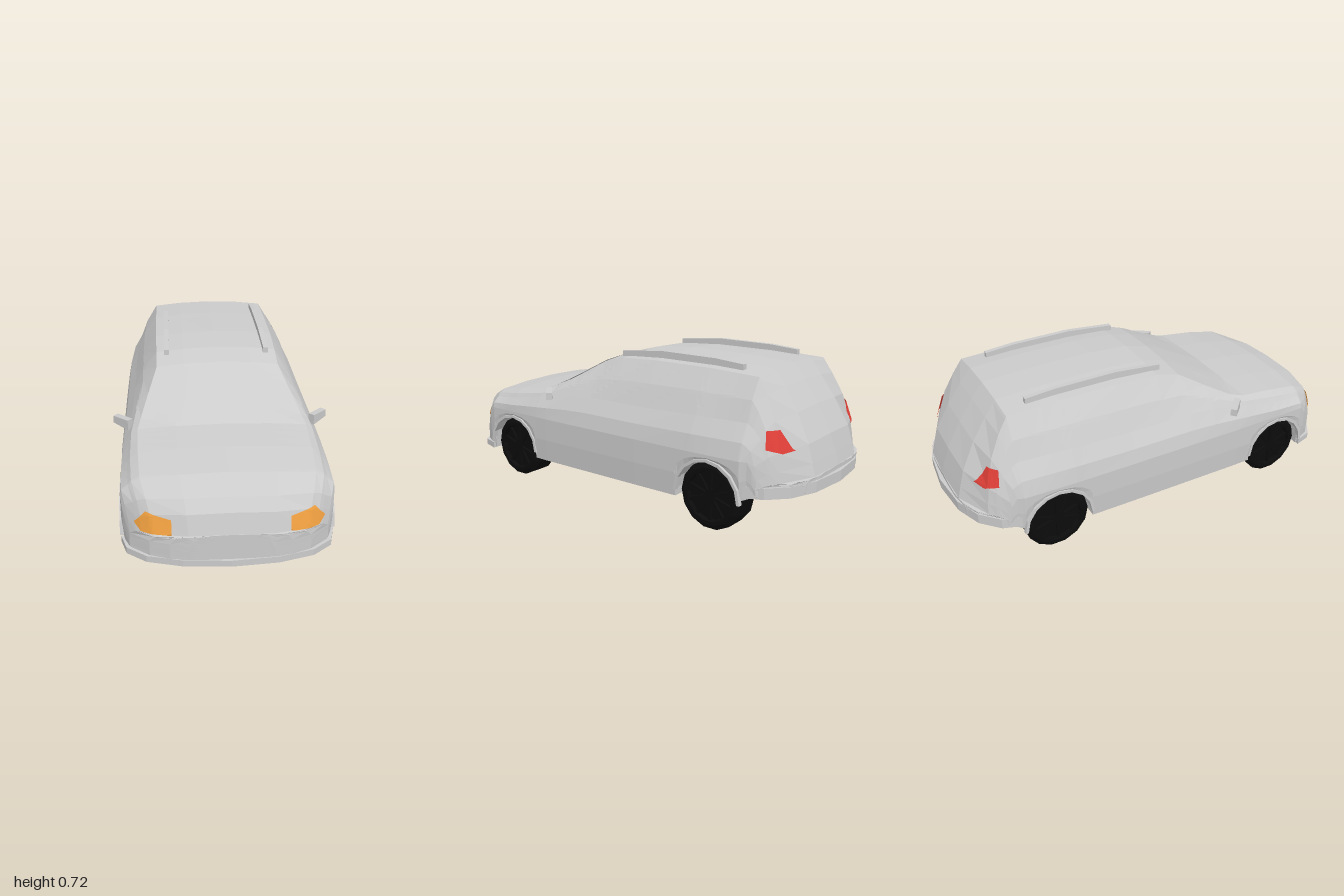
import * as THREE from 'three';

const mat = (color, side = THREE.FrontSide) =>
  new THREE.MeshStandardMaterial({ color, flatShading: true, side });
const grey = mat(0xcccccc), panel = mat(0xcccccc, THREE.DoubleSide);
const amber = mat(0xf0a040, THREE.DoubleSide), red = mat(0xe04038, THREE.DoubleSide);
const black = mat(0x0c0c0c);
const lerp = THREE.MathUtils.lerp, clamp = THREE.MathUtils.clamp;

const AXLES = [0.63, -0.59], ARCH_R = 0.163, ARCH_Y = 0.16;

// Stations: z, max half width, belt x, belt y, roof edge x, roof edge y, centre y
const STATIONS = [
  [0.985, 0.42, 0.39, 0.25, 0.32, 0.262, 0.27],
  [0.96, 0.435, 0.39, 0.31, 0.33, 0.34, 0.36],
  [0.92, 0.447, 0.40, 0.36, 0.345, 0.392, 0.41],
  [0.80, 0.456, 0.42, 0.40, 0.37, 0.435, 0.455],
  [0.63, 0.46, 0.43, 0.42, 0.38, 0.465, 0.482],
  [0.45, 0.463, 0.425, 0.45, 0.385, 0.485, 0.50],
  [0.38, 0.465, 0.42, 0.46, 0.372, 0.505, 0.537],
  [0.25, 0.465, 0.415, 0.48, 0.335, 0.575, 0.605],
  [0.12, 0.465, 0.41, 0.49, 0.295, 0.65, 0.67],
  [0.0, 0.465, 0.41, 0.49, 0.295, 0.68, 0.70],
  [-0.2, 0.465, 0.41, 0.49, 0.30, 0.69, 0.713],
  [-0.5, 0.463, 0.41, 0.50, 0.30, 0.69, 0.712],
  [-0.745, 0.455, 0.39, 0.50, 0.30, 0.68, 0.70],
  [-0.80, 0.45, 0.39, 0.48, 0.31, 0.61, 0.63],
  [-0.87, 0.44, 0.39, 0.44, 0.33, 0.51, 0.53],
  [-0.94, 0.435, 0.40, 0.36, 0.36, 0.385, 0.405],
  [-0.965, 0.43, 0.40, 0.30, 0.365, 0.31, 0.32],
  [-0.98, 0.43, 0.41, 0.25, 0.37, 0.26, 0.265],
];

function stationAt(z) {
  let i = 0;
  while (i < STATIONS.length - 2 && STATIONS[i + 1][0] > z) i++;
  const a = STATIONS[i], b = STATIONS[i + 1], t = (z - a[0]) / (b[0] - a[0]);
  return a.map((v, k) => lerp(v, b[k], t));
}

// Rounds the nose and tail in plan
function bend(x, y, z) {
  const q = (x / 0.46) ** 4;
  const front = clamp((z - 0.78) / 0.2, 0, 1), back = clamp((-z - 0.75) / 0.23, 0, 1);
  return [x, y, z - 0.16 * q * front + 0.21 * q * back];
}

// Half cross-section from floor centre, through the wheel well, up to the roof centre
function halfSection(z) {
  const [, W, xB, yB, xR, yR, yC] = stationAt(z);
  const base = z > -0.45 ? 0.13 : lerp(0.13, 0.2, clamp((-z - 0.45) / 0.5, 0, 1));
  let lo = base;
  for (const c of AXLES) {
    const d = Math.abs(z - c);
    if (d < ARCH_R) lo = Math.max(base, ARCH_Y + Math.sqrt(ARCH_R ** 2 - d * d));
  }
  const y2 = Math.max(Math.min(0.35, yB - 0.05), lo + 0.02);
  return [
    [0, base], [0.3, base], [0.3, lo], [W - 0.008, lo], [W, (lo + y2) / 2], [W, y2],
    [(W + xB) / 2 + 0.012, (y2 + yB) / 2], [xB, yB],
    [(xB + xR) / 2 + 0.01, (yB + yR) / 2], [xR, yR], [xR * 0.55, lerp(yR, yC, 0.7)], [0, yC],
  ];
}

function bodyGeometry() {
  const zs = STATIONS.map(s => s[0]);
  for (const c of AXLES) {
    for (let k = 1; k < 8; k++) zs.push(c + ARCH_R * Math.cos(k * Math.PI / 8));
    for (const e of [0.999, 1.002]) zs.push(c + ARCH_R * e, c - ARCH_R * e);
  }
  zs.sort((a, b) => b - a);
  const pos = [], idx = [];
  const quad = (a, b, c, d) => idx.push(a, b, c, a, c, d);
  const n = 22;
  zs.forEach((z, s) => {
    const h = halfSection(z);
    const ring = [...h, ...h.slice(1, -1).reverse().map(([x, y]) => [-x, y])];
    ring.forEach(([x, y]) => pos.push(...bend(x, y, z)));
    if (s) for (let i = 0; i < n; i++) {
      const j = (i + 1) % n, a = (s - 1) * n, b = s * n;
      quad(a + i, b + i, b + j, a + j);
    }
  });
  // Nose and tail faces
  const cols = 10;
  for (const z of [zs[0], zs[zs.length - 1]]) {
    const start = pos.length / 3, rows = halfSection(z).slice(3);
    rows.forEach(([x, y], r) => {
      for (let c = 0; c <= cols; c++) pos.push(...bend(x * (2 * c / cols - 1), y, z));
      if (r) for (let c = 0; c < cols; c++) {
        const a = start + (r - 1) * (cols + 1) + c, b = a + cols + 1;
        z > 0 ? quad(a, a + 1, b + 1, b) : quad(a, b, b + 1, a + 1);
      }
    });
  }
  const g = new THREE.BufferGeometry();
  g.setAttribute('position', new THREE.Float32BufferAttribute(pos, 3));
  g.setIndex(idx);
  g.computeVertexNormals();
  return g;
}

// Point at fraction t along a polyline of 2D points
function along(line, t) {
  const f = t * (line.length - 1), i = Math.min(Math.floor(f), line.length - 2);
  return [0, 1].map(k => lerp(line[i][k], line[i + 1][k], f - i));
}

// Thin panel laid on the body between two outlines, projected along an axis.
// Outlines are (x, y) for front and back, (z, y) for the sides.
function patch(name, body, dir, upper, lower, material, lift = 0.005) {
  const N = 12, M = 8, pos = [], idx = [], ray = new THREE.Raycaster();
  for (let i = 0; i <= N; i++) for (let j = 0; j <= M; j++) {
    const a = along(upper, i / N), b = along(lower, i / N);
    const u = lerp(a[0], b[0], j / M), v = lerp(a[1], b[1], j / M);
    const o = dir.x ? new THREE.Vector3(-2 * dir.x, v, u) : new THREE.Vector3(u, v, -2 * dir.z);
    ray.set(o, dir);
    const hit = ray.intersectObject(body)[0];
    const p = hit ? hit.point.addScaledVector(hit.face.normal, lift) : o.multiplyScalar(0.4);
    pos.push(p.x, p.y, p.z);
    if (i && j) {
      const q = i * (M + 1) + j, r = q - M - 1;
      idx.push(r - 1, q - 1, q, r - 1, q, r);
    }
  }
  const g = new THREE.BufferGeometry();
  g.setAttribute('position', new THREE.Float32BufferAttribute(pos, 3));
  g.setIndex(idx);
  g.computeVertexNormals();
  const m = new THREE.Mesh(g, material);
  m.name = name;
  return m;
}

function wheel() {
  const g = new THREE.Group();
  const profile = [[0, 0], [0.155, 0], [0.155, 0.108], [0.132, 0.125], [0.115, 0.125], [0.11, 0.105], [0, 0.105]];
  const tyre = new THREE.Mesh(new THREE.LatheGeometry(profile.map(p => new THREE.Vector2(...p)), 14), black);
  tyre.name = 'tyre';
  tyre.rotation.z = -Math.PI / 2;
  g.add(tyre);
  for (let i = 0; i < 5; i++) {
    const spoke = new THREE.Mesh(new THREE.BoxGeometry(0.014, 0.22, 0.016), black);
    spoke.name = 'spoke';
    spoke.position.x = 0.11;
    spoke.rotation.x = i * Math.PI / 5;
    g.add(spoke);
  }
  return g;
}

export function createModel() {
  const car = new THREE.Group();
  const add = (name, geo, material = grey) => {
    const m = new THREE.Mesh(geo, material);
    m.name = name;
    car.add(m);
    return m;
  };
  const extrude = (pts, depth) => new THREE.ExtrudeGeometry(
    new THREE.Shape(pts.map(p => new THREE.Vector2(...p))), { depth, bevelEnabled: false });
  const body = add('body', bodyGeometry());
  const fromFront = new THREE.Vector3(0, 0, -1), fromBack = new THREE.Vector3(0, 0, 1);
  const put = (...a) => car.add(patch(...a));

  // Bumper lips, outlined in plan
  const lip = (name, half, y, h) => {
    const pts = [...half, ...half.slice(0, -1).reverse().map(([x, z]) => [-x, z])];
    const g = extrude(pts, h);
    g.rotateX(Math.PI / 2);
    g.translate(0, y + h, 0);
    add(name, g);
  };
  lip('frontBumperLip', [[0.46, 0.795], [0.435, 0.88], [0.35, 0.945], [0.2, 0.985], [0, 1]], 0.123, 0.03);
  lip('rearBumperLip', [[0.445, -0.765], [0.415, -0.85], [0.33, -0.93], [0.2, -0.98], [0, -1]], 0.195, 0.05);

  // Windscreen, grille, rear window and plate recess
  put('windscreen', body, fromFront, [[-0.275, 0.648], [0, 0.658], [0.275, 0.648]],
    [[-0.37, 0.503], [0, 0.507], [0.37, 0.503]], panel);
  put('grille', body, fromFront, [[-0.185, 0.262], [0.185, 0.262]], [[-0.222, 0.155], [0.222, 0.155]], panel);
  put('plateRecess', body, fromBack, [[-0.13, 0.35], [0.13, 0.35]], [[-0.12, 0.275], [0.12, 0.275]], panel);

  for (const s of [-1, 1]) {
    const sx = pts => pts.map(([x, y]) => [s * x, y]);
    const inward = new THREE.Vector3(-s, 0, 0);
    put('headlight', body, fromFront, sx([[0.242, 0.328], [0.345, 0.348], [0.392, 0.292]]),
      sx([[0.242, 0.265], [0.365, 0.262], [0.392, 0.288]]), amber);
    put('tailLight', body, fromBack, sx([[0.285, 0.39], [0.32, 0.475], [0.37, 0.475]]),
      sx([[0.27, 0.385], [0.34, 0.38], [0.39, 0.4]]), red, 0.007);

    // Side windows
    put('frontSideWindow', body, inward, [[0.33, 0.522], [0.1, 0.635], [-0.06, 0.662]],
      [[0.33, 0.512], [0.1, 0.512], [-0.06, 0.512]], panel, 0.003);
    put('rearSideWindow', body, inward, [[-0.09, 0.665], [-0.3, 0.668], [-0.5, 0.66]],
      [[-0.075, 0.512], [-0.4, 0.52], [-0.55, 0.535]], panel, 0.003);
    put('quarterWindow', body, inward, [[-0.55, 0.65], [-0.67, 0.635]],
      [[-0.59, 0.54], [-0.66, 0.56]], panel, 0.003);

    // Roof rail, drawn in side profile
    const rail = extrude([[-0.04, 0.68], [0.64, 0.68], [0.64, 0.715], [0.5, 0.726], [0.2, 0.728], [-0.04, 0.706]], 0.024);
    rail.rotateY(Math.PI / 2);
    rail.translate(s * 0.245 - 0.012, 0, 0);
    add('roofRail', rail);

    // Door mirror, tapered towards its tip
    const housing = new THREE.BoxGeometry(0.1, 0.05, 0.03);
    const p = housing.attributes.position;
    for (let i = 0; i < p.count; i++) if (p.getX(i) * s > 0) p.setY(i, p.getY(i) * 0.7);
    const mirror = add('doorMirror', housing);
    mirror.position.set(s * 0.455, 0.48, 0.355);
    mirror.rotation.y = s * 0.8;

    for (const z of AXLES) {
      // Wheel and arch trim
      const w = wheel();
      w.name = z > 0 ? 'frontWheel' : 'rearWheel';
      w.position.set(s * 0.31, 0.155, z);
      if (s < 0) w.rotation.y = Math.PI;
      car.add(w);
      const arc = r => Array.from({ length: 9 }, (_, k) =>
        [r * Math.cos(k * Math.PI / 8), r * Math.sin(k * Math.PI / 8)]);
      const trim = extrude([...arc(0.172), ...arc(0.158).reverse()], 0.022);
      trim.rotateY(Math.PI / 2);
      trim.translate(s * 0.453 - 0.011, ARCH_Y, z);
      add('wheelArchTrim', trim);
    }
  }
  return car;
}
